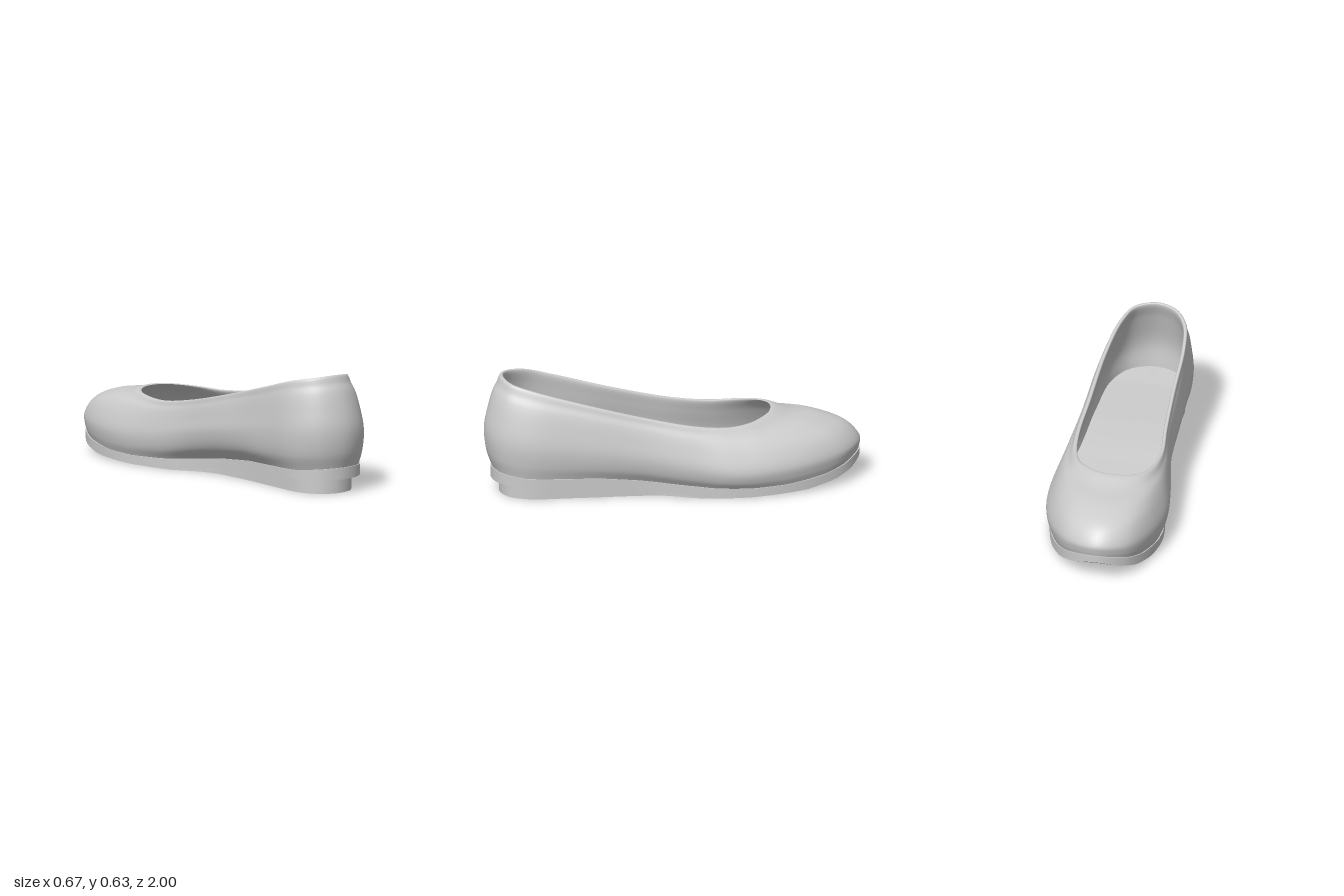
import * as THREE from 'three';

const COLS = 120;
const V = (x, y, z) => new THREE.Vector3(x, y, z);
const { lerp, clamp, smoothstep } = THREE.MathUtils;

// Stations run heel -> left side -> toe -> right side.
// Widest line of the upper: x, y, z
const BULGE = [
  [0.06, 0.35, 1.0], [0.2, 0.33, 0.945], [0.28, 0.3, 0.8], [0.297, 0.27, 0.5], [0.3, 0.22, 0.15],
  [0.32, 0.17, -0.1], [0.335, 0.14, -0.32], [0.3, 0.15, -0.55], [0.215, 0.17, -0.77], [0.095, 0.19, -0.93],
  [-0.07, 0.2, -1.0], [-0.21, 0.19, -0.93], [-0.295, 0.18, -0.77], [-0.337, 0.17, -0.5], [-0.3, 0.18, -0.23],
  [-0.25, 0.22, 0], [-0.23, 0.27, 0.3], [-0.205, 0.3, 0.6], [-0.18, 0.33, 0.82], [-0.09, 0.34, 0.95],
];
// Top edge of the opening: x, y, z
const RIM = [
  [0.035, 0.63, 0.912], [0.15, 0.618, 0.87], [0.2, 0.59, 0.76], [0.232, 0.522, 0.5], [0.237, 0.432, 0.15],
  [0.237, 0.38, -0.1], [0.212, 0.36, -0.28], [0.165, 0.365, -0.4], [0.09, 0.375, -0.48], [0.02, 0.382, -0.525],
  [-0.07, 0.385, -0.54], [-0.14, 0.383, -0.525], [-0.2, 0.378, -0.475], [-0.24, 0.37, -0.38], [-0.25, 0.365, -0.2],
  [-0.225, 0.395, 0], [-0.2, 0.467, 0.3], [-0.185, 0.55, 0.6], [-0.15, 0.6, 0.77], [-0.07, 0.622, 0.88],
];
// Sole outline: x, z
const SOLE = [
  [0.06, 0.965], [0.19, 0.92], [0.262, 0.8], [0.27, 0.5], [0.265, 0.15],
  [0.29, -0.1], [0.31, -0.32], [0.282, -0.55], [0.203, -0.77], [0.09, -0.925],
  [-0.07, -0.998], [-0.205, -0.925], [-0.282, -0.77], [-0.317, -0.5], [-0.262, -0.23],
  [-0.17, 0], [-0.143, 0.3], [-0.148, 0.6], [-0.14, 0.8], [-0.06, 0.925],
];

// Height along the shoe from [z, y] pairs
const heights = (pairs) => (z) => {
  let i = 0;
  while (i < pairs.length - 2 && z > pairs[i + 1][0]) i++;
  const [z0, y0] = pairs[i], [z1, y1] = pairs[i + 1];
  return lerp(y0, y1, clamp((z - z0) / (z1 - z0), 0, 1));
};
const soleTop = heights([[-1, 0.145], [-0.9, 0.105], [-0.8, 0.08], [-0.6, 0.056], [-0.4, 0.05], [-0.2, 0.055],
  [0, 0.075], [0.2, 0.1], [0.4, 0.118], [0.8, 0.127], [0.965, 0.143]]);
const soleBottom = heights([[-1, 0.11], [-0.95, 0.075], [-0.85, 0.04], [-0.7, 0.015], [-0.4, 0.003], [-0.15, 0],
  [0, 0.025], [0.2, 0.05], [0.4, 0.07], [0.965, 0.08]]);
const floorY = (z) => soleTop(Math.max(z, -0.8)) + 0.065;

// Samples a closed curve through the stations and keeps them aligned
function ring(points) {
  const curve = new THREE.CatmullRomCurve3(points, true, 'centripetal');
  return Array.from({ length: COLS }, (_, i) => curve.getPoint(i / COLS));
}

// Moves a ring sideways along its outward direction
function offset(points, d) {
  return points.map((p, i) => {
    const a = points[(i + COLS - 1) % COLS], b = points[(i + 1) % COLS];
    const t = b.clone().sub(a).setY(0).normalize();
    return V(p.x - t.z * d, p.y, p.z + t.x * d);
  });
}

// Ring between two others: fraction up, and fractions sideways where they lie near and far apart
const between = (a, b, up, near, far = near) => a.map((p, i) => {
  const q = b[i];
  const side = lerp(near, far, smoothstep(Math.hypot(q.x - p.x, q.z - p.z), 0.12, 0.4));
  return V(lerp(p.x, q.x, side), lerp(p.y, q.y, up), lerp(p.z, q.z, side));
});
const withHeight = (points, yOf) => points.map((p) => V(p.x, yOf(p.z), p.z));
const drop = (points, d) => points.map((p) => V(p.x, p.y - d, p.z));
const spineX = (z) => -0.005 + 0.065 * z;
// Collapses a ring onto the centre line, to close it
const spine = (points, yOf) => points.map((p) => {
  const z = clamp(p.z, -0.93, 0.84);
  return V(spineX(z), yOf(z), z);
});

// Skin between consecutive closed rings
function loft(rings) {
  const pos = [], index = [];
  rings.forEach((r) => r.forEach((p) => pos.push(p.x, p.y, p.z)));
  for (let j = 0; j < rings.length - 1; j++) {
    for (let i = 0; i < COLS; i++) {
      const n = (i + 1) % COLS;
      const a = j * COLS + i, b = j * COLS + n, c = b + COLS, d = a + COLS;
      index.push(a, b, c, a, c, d);
    }
  }
  const g = new THREE.BufferGeometry();
  g.setAttribute('position', new THREE.Float32BufferAttribute(pos, 3));
  g.setIndex(index);
  g.computeVertexNormals();
  return g;
}

export function createModel() {
  const shoe = new THREE.Group();
  shoe.name = 'shoe';
  const material = new THREE.MeshStandardMaterial({ color: 0xcccccc, side: THREE.DoubleSide });
  const add = (parent, name, rings) => {
    const mesh = new THREE.Mesh(loft(rings), material);
    mesh.name = name;
    parent.add(mesh);
  };

  const sole = ring(SOLE.map(([x, z]) => V(x, 0, z)));
  const bulge = ring(BULGE.map((p) => V(...p)));
  const rim = ring(RIM.map((p) => V(...p)));
  const bandTop = withHeight(sole, soleTop);
  const bandBottom = withHeight(sole, soleBottom);
  const base = offset(bandTop, -0.006);
  const upperShoulder = between(bulge, rim, 0.72, 0.55, 0.44);

  // Upper: up the outside, over the rim and down the lining
  const floorEdge = withHeight(offset(between(sole, bulge, 0, 0.65), -0.016), floorY);
  const profile = [
    base, between(base, bulge, 0.4, 0.7), bulge,
    between(bulge, rim, 0.42, 0.25, 0.14), upperShoulder,
    between(bulge, rim, 0.86, 0.79), rim,
    drop(offset(rim, -0.015), 0.003),
    drop(offset(upperShoulder, -0.022), 0.02),
    offset(bulge, -0.022), floorEdge,
  ];
  const STEPS = 60;
  const upper = Array.from({ length: STEPS + 1 }, () => []);
  for (let i = 0; i < COLS; i++) {
    const curve = new THREE.CatmullRomCurve3(profile.map((r) => r[i]), false, 'centripetal');
    for (let j = 0; j <= STEPS; j++) upper[j].push(curve.getPoint(j / STEPS));
  }
  add(shoe, 'upper', upper);

  // Insole
  add(shoe, 'insole', [floorEdge, spine(floorEdge, floorY)]);

  // Sole band with its ledge and underside
  const soleGroup = new THREE.Group();
  soleGroup.name = 'sole';
  shoe.add(soleGroup);
  add(soleGroup, 'soleBand', [bandBottom, bandTop]);
  add(soleGroup, 'soleLedge', [bandTop, base]);
  add(soleGroup, 'soleUnderside', [spine(bandBottom, soleBottom), bandBottom]);

  // Low wedge heel, set in at the back and running flush into the sole at the waist
  const FRONT = -0.16;
  const inset = offset(sole, -0.045);
  const heelOutline = sole.map((p, i) => {
    const q = p.clone().lerp(inset[i], smoothstep(p.z, FRONT, 0.1));
    const c = spineX(FRONT);
    return q.z > FRONT ? q : V(clamp(q.x, c - 0.21, c + 0.29), 0, FRONT);
  });
  const heelSpine = heelOutline.map((p) => {
    const z = Math.min(p.z, 0.82);
    return V(spineX(z), 0, z);
  });
  add(soleGroup, 'heelWall', [heelOutline, withHeight(heelOutline, soleBottom)]);
  add(soleGroup, 'heelUnderside', [heelSpine, heelOutline]);

  return shoe;
}
